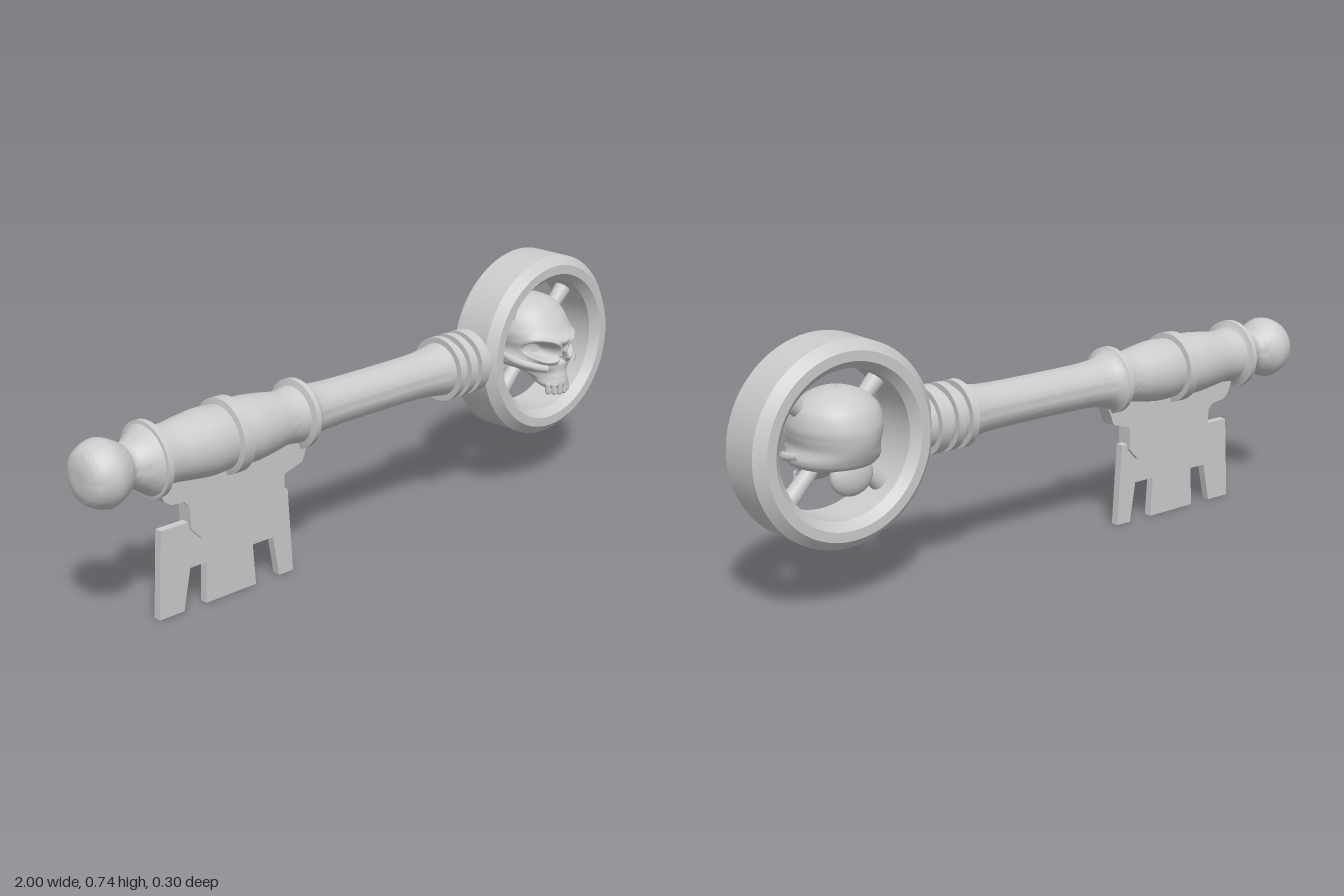
import * as THREE from 'three';
import { toCreasedNormals } from 'three/addons/utils/BufferGeometryUtils.js';
import { ParametricGeometry } from 'three/addons/geometries/ParametricGeometry.js';

const material = new THREE.MeshStandardMaterial({ color: 0xcccccc });
const AXIS_Y = 0.46;
const RING_X = 0.716;

function addMesh(parent, name, geometry, x = 0, y = 0, z = 0) {
  const mesh = new THREE.Mesh(geometry, material);
  mesh.name = name;
  mesh.position.set(x, y, z);
  parent.add(mesh);
  return mesh;
}

const lathe = (points, segments) =>
  toCreasedNormals(new THREE.LatheGeometry(points.map(([r, h]) => new THREE.Vector2(r, h)), segments), 0.6);

// Smooth turned section along x, given as [x, radius] points
function turned(points, samples = 20) {
  const curve = new THREE.SplineCurve(points.map(([x, r]) => new THREE.Vector2(r, x)));
  return curve.getPoints(samples).map((p) => [Math.max(p.x, 0), p.y]);
}

function plate(points, halfDepth) {
  const shape = new THREE.Shape(points.map(([x, y]) => new THREE.Vector2(x, y)));
  const geometry = new THREE.ExtrudeGeometry(shape, { depth: halfDepth * 2, bevelEnabled: false });
  return geometry.translate(0, 0, -halfDepth + 0.003);
}

// Skull sections from bottom to top: [y, half width, front z, back z]
const sections = [
  [0.335, 0.003, 0.11, 0.104], [0.337, 0.035, 0.13, 0.07], [0.35, 0.052, 0.14, 0.04],
  [0.372, 0.058, 0.136, 0.0], [0.39, 0.078, 0.13, -0.07], [0.408, 0.115, 0.129, -0.115],
  [0.43, 0.125, 0.13, -0.132], [0.46, 0.115, 0.13, -0.145], [0.49, 0.121, 0.131, -0.151],
  [0.52, 0.124, 0.117, -0.15], [0.56, 0.112, 0.09, -0.135], [0.59, 0.082, 0.06, -0.105],
  [0.607, 0.042, 0.022, -0.068], [0.612, 0.002, -0.02, -0.024],
];
const heights = new THREE.SplineCurve(sections.map((s) => new THREE.Vector2(s[0], 0)));
const extents = new THREE.CatmullRomCurve3(
  sections.map(([, w, f, b]) => new THREE.Vector3(w, f, b)), false, 'catmullrom', 0.5);

const bump = (t) => Math.exp(-t * t);

// Depth change on the face: sockets with raised rims, angry brow, nose opening
function faceRelief(x, y) {
  const ax = Math.abs(x);
  const eye = Math.hypot((ax - 0.061) / 0.042, (y - 0.462 - (ax - 0.061) * 0.25) / 0.029);
  const nose = Math.hypot(x / (0.012 + Math.max(0, 0.45 - y) * 0.4), (y - 0.434) / 0.022);
  const hollow = (d) => 1 - THREE.MathUtils.smoothstep(d, 0.5, 1.05);
  return -0.055 * hollow(eye) - 0.03 * hollow(nose)
    + 0.01 * bump((eye - 1.2) / 0.2)
    + 0.012 * bump((y - 0.488 - ax * 0.15) / 0.014) * bump(ax / 0.09)
    - 0.02 * bump((ax - 0.075) / 0.02) * bump((y - 0.385) / 0.016);
}

function skullSurface(u, v, target) {
  const y = heights.getPoint(v).x;
  const e = extents.getPoint(v);
  const angle = Math.PI * (2 * u + 1);
  const c = Math.cos(angle);
  const x = e.x * Math.sin(angle);
  let z = (e.y + e.z) / 2 + ((e.y - e.z) / 2) * c;
  z += faceRelief(x, y) * THREE.MathUtils.smoothstep(c, 0, 0.45);
  target.set(x, y, z);
}

function createSkull() {
  const skull = new THREE.Group();
  skull.name = 'skull';
  skull.position.x = RING_X;
  addMesh(skull, 'cranium', new ParametricGeometry(skullSurface, 112, 88));

  // Rounded base at the back of the head
  addMesh(skull, 'skullBase', new THREE.SphereGeometry(1, 24, 16), 0, 0.385, -0.085).scale.set(0.065, 0.058, 0.032);

  // Upper teeth along the curve of the jaw
  for (let i = -2.5; i <= 2.5; i++) {
    const a = i * 0.4;
    const tooth = addMesh(skull, 'tooth', new THREE.CapsuleGeometry(0.0085, 0.022, 4, 10),
      Math.sin(a) * 0.052, 0.335 + Math.abs(i) * 0.002, 0.09 + Math.cos(a) * 0.043);
    tooth.rotation.y = a;
  }

  // Cheek arches running back from the eye sockets
  for (const side of [-1, 1]) {
    const path = new THREE.CatmullRomCurve3([[0.055, 0.405, 0.117], [0.092, 0.416, 0.092], [0.118, 0.428, 0.045], [0.115, 0.44, -0.02]]
      .map(([x, y, z]) => new THREE.Vector3(side * x, y, z)));
    addMesh(skull, 'cheekArch', new THREE.TubeGeometry(path, 20, 0.012, 8));
  }
  return skull;
}

export function createModel() {
  const key = new THREE.Group();
  key.name = 'key';

  // Turned shaft: knob, flared neck, two barrels with collars, slim stem
  const profile = [
    ...turned([[-1, 0], [-0.998, 0.04], [-0.98, 0.075], [-0.93, 0.094], [-0.885, 0.077], [-0.86, 0.06], [-0.83, 0.072], [-0.795, 0.097]], 32),
    [0.106, -0.793], [0.106, -0.777], [0.09, -0.772],
    ...turned([[-0.765, 0.084], [-0.72, 0.081], [-0.66, 0.088], [-0.6, 0.094], [-0.545, 0.091]]),
    [0.107, -0.541], [0.107, -0.505],
    ...turned([[-0.503, 0.091], [-0.45, 0.093], [-0.39, 0.086], [-0.33, 0.077], [-0.283, 0.082]]),
    [0.1, -0.278], [0.1, -0.262],
    ...turned([[-0.257, 0.09], [-0.235, 0.076], [-0.19, 0.069], [-0.1, 0.066], [0.12, 0.066], [0.22, 0.069], [0.3, 0.08]], 30),
    [0.08, 0.46], [0, 0.46],
  ];
  addMesh(key, 'shaft', lathe(profile, 48).rotateZ(-Math.PI / 2), 0, AXIS_Y);

  // Three collar discs beside the ring
  for (const [x, width] of [[0.308, 0.022], [0.355, 0.026], [0.407, 0.036]]) {
    const disc = toCreasedNormals(new THREE.CylinderGeometry(0.097, 0.097, width, 48).rotateZ(Math.PI / 2), 0.6);
    addMesh(key, 'collarDisc', disc, x, AXIS_Y);
  }

  // Bow ring with chamfered edges
  const ring = [
    [0.205, -0.065], [0.228, -0.09], [0.256, -0.09], [0.283, -0.063], [0.283, 0.063],
    [0.256, 0.09], [0.228, 0.09], [0.205, 0.065], [0.205, -0.065],
  ];
  addMesh(key, 'bowRing', lathe(ring, 72).rotateX(Math.PI / 2), RING_X, AXIS_Y);

  // Crossed spokes holding the skull
  for (let i = 0; i < 4; i++) {
    const angle = Math.PI / 4 + (i * Math.PI) / 2;
    const spoke = new THREE.CylinderGeometry(0.026, 0.019, 0.16, 16).translate(0, 0.135, 0);
    addMesh(key, 'spoke', spoke, RING_X, AXIS_Y).rotation.z = angle;
  }
  key.add(createSkull());

  // Bit: thick upper plate and thin toothed lower plate
  addMesh(key, 'bitUpper', plate([
    [-0.78, 0.4], [-0.755, 0.34], [-0.735, 0.325], [-0.69, 0.32], [-0.672, 0.305], [-0.668, 0.235],
    [-0.632, 0.2], [-0.37, 0.2], [-0.337, 0.235], [-0.337, 0.305], [-0.27, 0.325], [-0.24, 0.4],
  ], 0.024));
  addMesh(key, 'bitLower', plate([
    [-0.76, 0.254], [-0.775, 0], [-0.692, 0], [-0.667, 0.12], [-0.61, 0.12], [-0.616, 0], [-0.438, 0],
    [-0.447, 0.122], [-0.373, 0.122], [-0.353, 0], [-0.3, 0], [-0.316, 0.25], [-0.4, 0.254],
  ], 0.012));
  return key;
}
